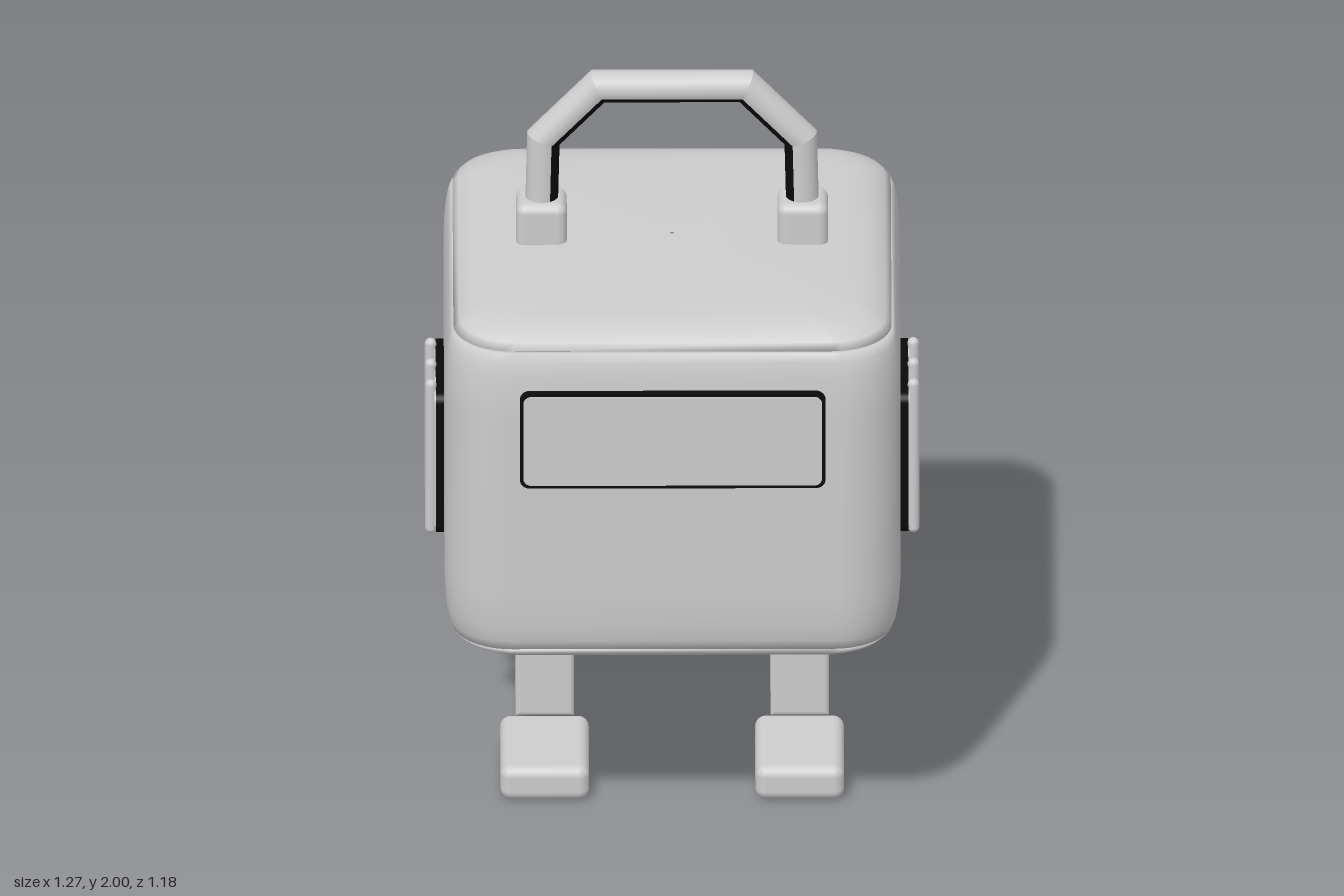
import * as THREE from 'three';
import { RoundedBoxGeometry } from 'three/addons/geometries/RoundedBoxGeometry.js';

const CZ = -0.007; // depth centre of the body

function roundedShape(w, h, r) {
  const s = new THREE.Shape(), x = w / 2, y = h / 2;
  s.moveTo(-x + r, -y);
  s.lineTo(x - r, -y); s.absarc(x - r, -y + r, r, -Math.PI / 2, 0);
  s.lineTo(x, y - r); s.absarc(x - r, y - r, r, 0, Math.PI / 2);
  s.lineTo(-x + r, y); s.absarc(-x + r, y - r, r, Math.PI / 2, Math.PI);
  s.lineTo(-x, -y + r); s.absarc(-x + r, -y + r, r, Math.PI, Math.PI * 1.5);
  return s;
}

const plate = (w, h, r, depth) =>
  new THREE.ExtrudeGeometry(roundedShape(w, h, r), { depth, bevelEnabled: false, curveSegments: 6 });

// Rounded-square cross-sections stacked upward; rows are [height, inset]
function loft(rows) {
  const SEG = 10, n = 4 * (SEG + 1), pos = [], idx = [];
  for (const [y, inset] of rows) {
    const hx = 0.585 - inset, hz = 0.582 - inset;
    const r = Math.min(hx * 0.9, Math.max(0.07, 0.16 - inset * 0.4));
    for (let q = 0; q < 4; q++) {
      const sx = q === 0 || q === 3 ? 1 : -1, sz = q < 2 ? 1 : -1;
      for (let k = 0; k <= SEG; k++) {
        const a = (q + k / SEG) * Math.PI / 2;
        pos.push(sx * (hx - Math.min(r, hx)) + Math.cos(a) * r, y,
          CZ + sz * (hz - Math.min(r, hz)) + Math.sin(a) * r);
      }
    }
  }
  for (let i = 0; i < rows.length - 1; i++) for (let j = 0; j < n; j++) {
    const a = i * n + j, b = i * n + (j + 1) % n;
    idx.push(a, a + n, b, b, a + n, b + n);
  }
  return finish(pos, idx);
}

function finish(pos, idx) {
  const g = new THREE.BufferGeometry();
  g.setAttribute('position', new THREE.Float32BufferAttribute(pos, 3));
  g.setIndex(idx);
  g.computeVertexNormals();
  return g;
}

// Mitred bar along a path in the xy plane, covering angles t0 to t1 around it
function sweep(path, radius, t0, t1) {
  const SEG = 20, pos = [], idx = [];
  const dirs = path.slice(1).map((p, i) => p.clone().sub(path[i]).normalize());
  const normals = path.map((p, i) => {
    const a = dirs[Math.max(i - 1, 0)], b = dirs[Math.min(i, dirs.length - 1)];
    const d = a.clone().add(b).normalize();
    return new THREE.Vector2(-d.y, d.x).divideScalar(d.dot(a));
  });
  for (let i = 0; i < path.length - 1; i++) {
    const base = pos.length / 3;
    for (const k of [i, i + 1]) for (let j = 0; j <= SEG; j++) {
      const t = t0 + (t1 - t0) * j / SEG, c = Math.cos(t) * radius;
      pos.push(path[k].x + normals[k].x * c, path[k].y + normals[k].y * c, Math.sin(t) * radius);
    }
    for (let j = 0; j < SEG; j++) {
      const a = base + j, c = a + SEG + 1;
      idx.push(a, a + 1, c, a + 1, c + 1, c);
    }
  }
  return finish(pos, idx);
}

export function createModel() {
  const model = new THREE.Group();
  model.name = 'walkingBox';
  const grey = new THREE.MeshStandardMaterial({ name: 'lightGrey', color: 0xcccccc });
  const black = new THREE.MeshStandardMaterial({ name: 'black', color: 0x0a0a0a });

  const add = (name, geometry, material, x = 0, y = 0, z = 0, parent = model) => {
    const m = new THREE.Mesh(geometry, material);
    m.name = name;
    m.position.set(x, y, z);
    parent.add(m);
    return m;
  };

  // Body shell with a separate lid and base, divided by fine grooves
  add('bodyShell', loft([[0.63, 0.045], [0.623, 0.021], [0.65, 0.012], [0.69, 0.005], [0.75, 0.001],
    [0.8, 0], [1.3, 0], [1.35, 0.001], [1.41, 0.005], [1.45, 0.012], [1.474, 0.021], [1.467, 0.045]]), grey);
  const lidRows = [[1.467, 0.045], [1.479, 0.023], [1.497, 0.038], [1.514, 0.065], [1.524, 0.095],
    [1.53, 0.135], [1.533, 0.2], [1.535, 0.3], [1.535, 0.58]];
  add('lid', loft(lidRows), grey);
  add('base', loft(lidRows.map(([y, inset]) => [2.098 - y, inset]).reverse()), grey);

  // Front display panel
  add('panelRim', plate(0.784, 0.272, 0.025, 0.03), black, 0, 1.24, 0.56);
  add('panelFace', plate(0.766, 0.254, 0.02, 0.004), grey, 0, 1.24, 0.589);

  // Carrying handle with a dark inner face
  const path = [[-0.335, 1.6], [-0.33, 1.81], [-0.19, 1.958], [0.19, 1.958], [0.33, 1.81], [0.335, 1.6]]
    .map(([x, y]) => new THREE.Vector2(x, y));
  const third = Math.PI * 2 / 3;
  add('handle', sweep(path, 0.042, -third, third), grey, 0, 0, CZ);
  add('handleLining', sweep(path, 0.042, third, 2 * third), black, 0, 0, CZ);

  // Leg outline: a block with a slot at the top for the hip joint
  const legShape = new THREE.Shape();
  [[-0.063, 0.202], [0.063, 0.202], [0.063, 0.458], [0.052, 0.458], [0.052, 0.43],
    [-0.052, 0.43], [-0.052, 0.458], [-0.063, 0.458]]
    .forEach(([x, y], i) => (i ? legShape.lineTo(x, y) : legShape.moveTo(x, y)));
  const legGeometry = new THREE.ExtrudeGeometry(legShape, {
    depth: 0.146, bevelSize: 0.012, bevelThickness: 0.012, bevelSegments: 3,
  }).translate(0, 0, -0.073);

  for (const s of [-1, 1]) {
    const side = s > 0 ? 'left' : 'right';

    // Handle mounts
    add(side + 'HandleMount', new RoundedBoxGeometry(0.13, 0.13, 0.13, 4, 0.025), grey, s * 0.335, 1.578, CZ);

    // Legs and feet
    const leg = new THREE.Group();
    leg.name = side + 'Leg';
    leg.position.x = s * 0.327;
    model.add(leg);
    add('hipJoint', new THREE.CylinderGeometry(0.1, 0.1, 0.08, 32).rotateZ(Math.PI / 2), grey, 0, 0.495, CZ, leg);
    add('hipCaps', new THREE.CylinderGeometry(0.092, 0.092, 0.116, 32).rotateZ(Math.PI / 2), grey, 0, 0.495, CZ, leg);
    add('shin', legGeometry, grey, 0, 0, 0, leg);
    add('slotFloor', new THREE.BoxGeometry(0.075, 0.018, 0.008), black, 0, 0.423, 0.083, leg);
    add('foot', new RoundedBoxGeometry(0.228, 0.095, 0.323, 4, 0.028), grey, 0, 0.0475, 0.035, leg);

    // Side vents: dark-rimmed plate with three round bars
    const vent = new THREE.Group();
    vent.name = side + 'Vent';
    vent.position.set(s * 0.57, 0.935, -0.043);
    vent.rotation.y = s * Math.PI / 2;
    model.add(vent);
    add('ventRim', plate(0.345, 0.4, 0.025, 0.036), black, 0, 0, 0, vent);
    add('ventFace', plate(0.329, 0.384, 0.02, 0.004), grey, 0, 0, 0.035, vent);
    for (const k of [-1, 0, 1])
      add('ventBar', new THREE.CapsuleGeometry(0.015, 0.41, 6, 12), grey, k * 0.116, 0, 0.049, vent);
  }
  return model;
}
